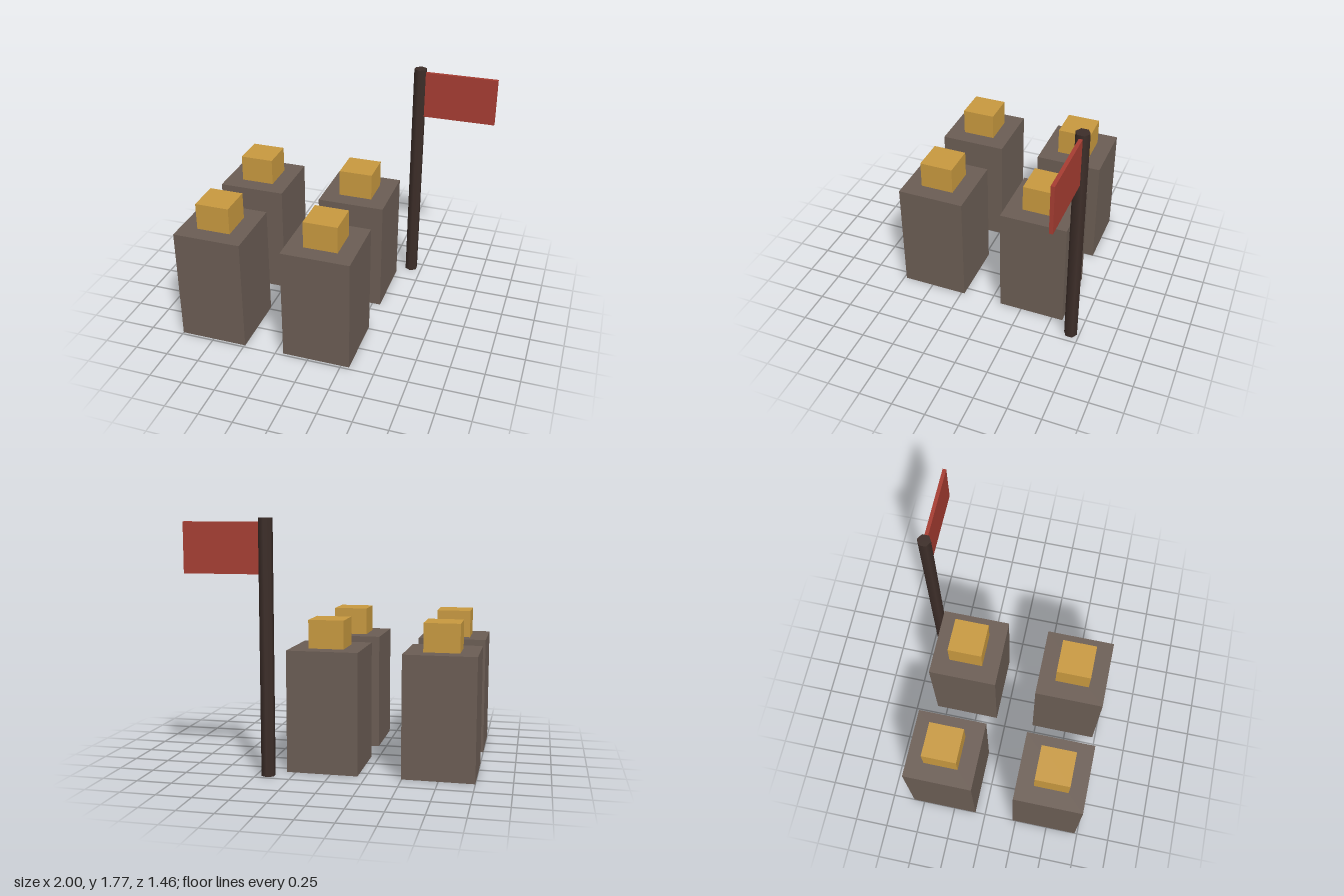
import * as THREE from 'three';

const material = (color) => new THREE.MeshStandardMaterial({ color });

export function createModel() {
  const model = new THREE.Group();
  model.name = 'pillarsAndFlag';

  const stone = material(0x6b5d54);
  const gold = material(0xc8993f);
  const wood = material(0x3d2e29);
  const cloth = material(0xa63d32);

  const add = (parent, name, geometry, mat, x, y, z) => {
    const mesh = new THREE.Mesh(geometry, mat);
    mesh.name = name;
    mesh.position.set(x, y, z);
    parent.add(mesh);
  };

  // Four square pillars, each topped by a small golden block
  const pillarHeight = 0.863, capHeight = 0.202;
  const pillarGeometry = new THREE.BoxGeometry(0.505, pillarHeight, 0.505);
  const capGeometry = new THREE.BoxGeometry(0.252, capHeight, 0.252);
  for (const x of [-0.7475, 0.06]) {
    for (const z of [-0.331, 0.478]) {
      const pillar = new THREE.Group();
      pillar.name = 'pillar';
      pillar.position.set(x, 0, z);
      add(pillar, 'pillarBody', pillarGeometry, stone, 0, pillarHeight / 2, 0);
      add(pillar, 'pillarCap', capGeometry, gold, 0, pillarHeight + capHeight / 2, 0);
      model.add(pillar);
    }
  }

  // Six-sided flagpole behind the pillars, with a thin flag to its left
  const poleX = 0.416, poleZ = -0.684, poleHeight = 1.77;
  add(model, 'flagpole', new THREE.CylinderGeometry(0.05, 0.05, poleHeight, 6), wood, poleX, poleHeight / 2, poleZ);
  const flagLength = 1 - poleX;
  add(model, 'flag', new THREE.BoxGeometry(flagLength, 0.353, 0.026), cloth, poleX + flagLength / 2, 1.569, poleZ);

  return model;
}
